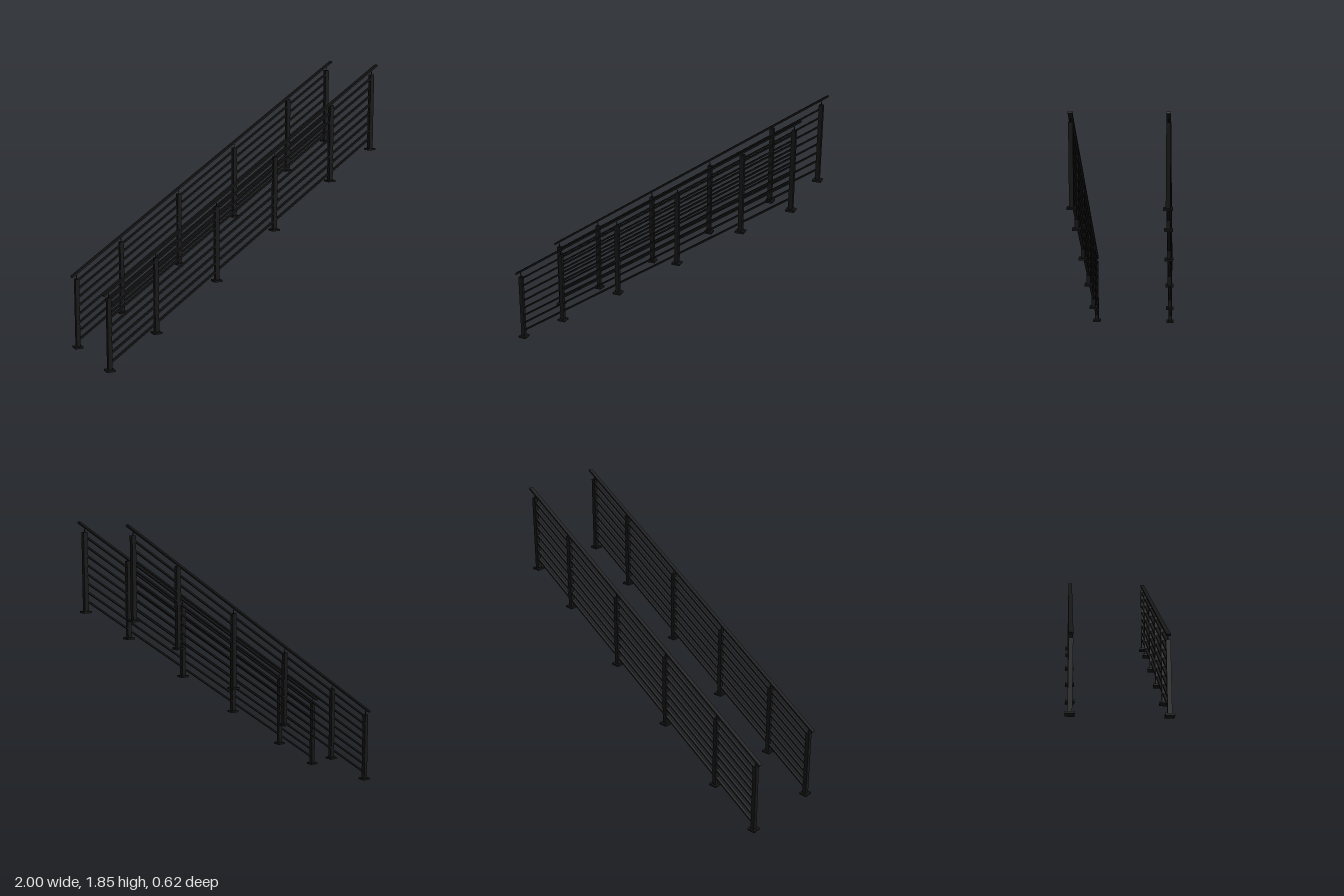
import * as THREE from 'three';

const SLOPE = 0.6825;
const ANGLE = Math.atan(SLOPE);
const railY = x => 1.166 + SLOPE * x; // centre line of the handrail

// x, bottom and top of each post
const POSTS = [
  [-0.96, 0, 0.47], [-0.64, 0.2, 0.69], [-0.213, 0.49, 0.98],
  [0.213, 0.785, 1.272], [0.64, 1.08, 1.59], [0.957, 1.275, 1.785],
];

export function createModel() {
  const model = new THREE.Group();
  const material = new THREE.MeshStandardMaterial({ color: 0x161616 });

  function box(parent, name, w, h, d, x, y, tilt = 0) {
    const mesh = new THREE.Mesh(new THREE.BoxGeometry(w, h, d), material);
    mesh.name = name;
    mesh.position.set(x, y, 0);
    mesh.rotation.z = tilt;
    parent.add(mesh);
  }

  // flat bar following the stair slope between two x positions
  function slopedBar(parent, name, x0, x1, drop, thick, depth) {
    const x = (x0 + x1) / 2;
    box(parent, name, (x1 - x0) / Math.cos(ANGLE), thick, depth, x, railY(x) - drop, ANGLE);
  }

  function railing(name, z) {
    const g = new THREE.Group();
    g.name = name;
    g.position.z = z;

    slopedBar(g, 'handrail', -0.996, 0.996, 0, 0.012, 0.027);
    for (let i = 1; i <= 8; i++) slopedBar(g, 'infillBar', -0.96, 0.957, i * 0.0575, 0.01, 0.02);

    for (const [x, y0, y1] of POSTS) {
      box(g, 'post', 0.027, y1 - y0, 0.027, x, (y0 + y1) / 2);
      box(g, 'basePlate', 0.056, 0.012, 0.056, x, y0 + 0.006);
      // thin bracket carrying the handrail: a stem and a short bent tip
      const top = railY(x) - 0.004;
      const bend = y1 + (top - y1) * 0.6;
      const path = new THREE.CurvePath();
      const a = new THREE.Vector3(x, y1 - 0.005, 0);
      const b = new THREE.Vector3(x, bend, 0);
      const c = new THREE.Vector3(x - 0.008, railY(x - 0.008) - 0.004, 0);
      path.add(new THREE.LineCurve3(a, b));
      path.add(new THREE.LineCurve3(b, c));
      const bracket = new THREE.Mesh(new THREE.TubeGeometry(path, 6, 0.003, 8), material);
      bracket.name = 'handrailBracket';
      g.add(bracket);
    }
    model.add(g);
  }

  railing('frontRailing', 0.28);
  railing('backRailing', -0.28);
  return model;
}
